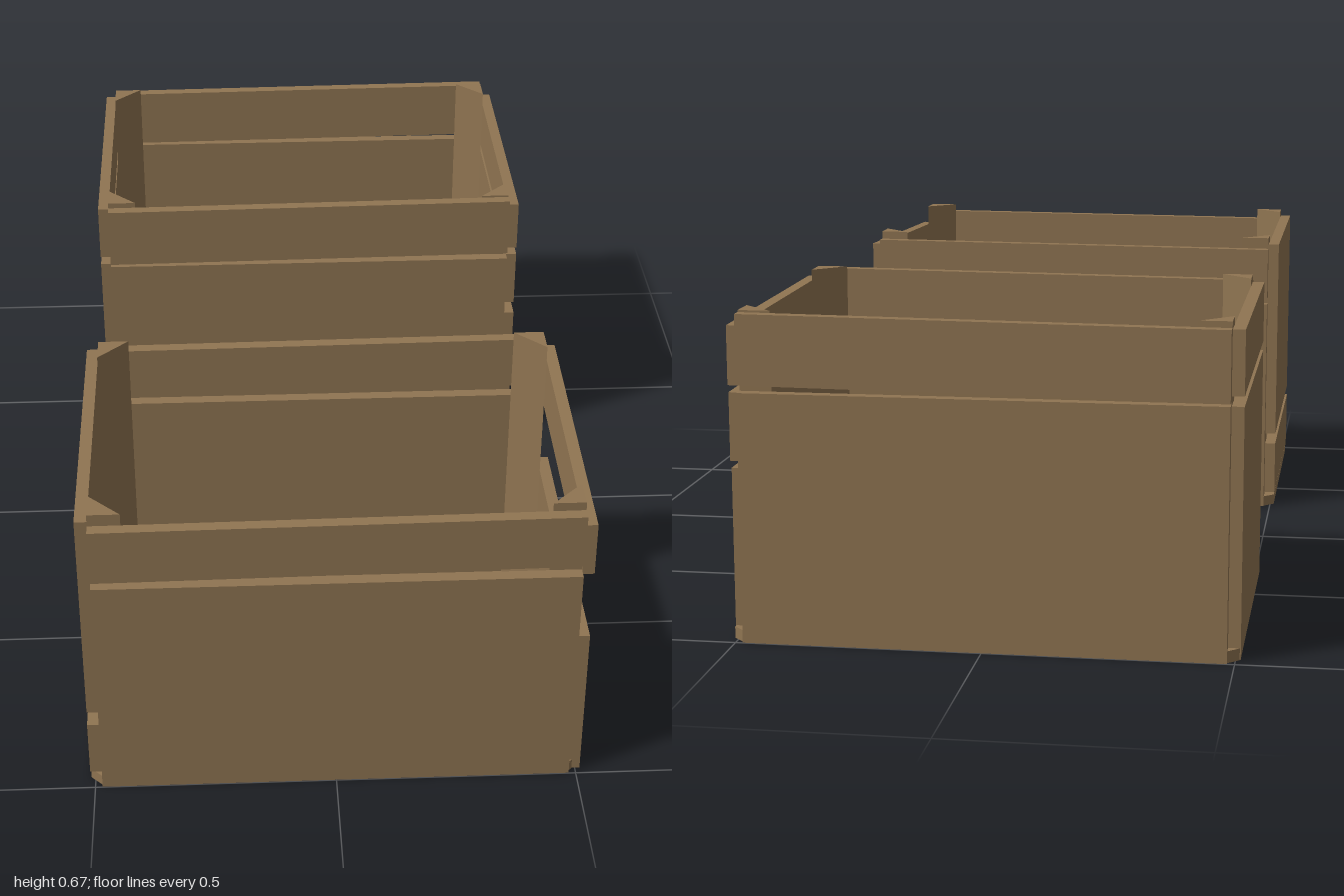
import * as THREE from 'three';

const wood = new THREE.MeshStandardMaterial({ color: 0x907552 });
wood.name = 'wood';

const HX = 0.485, OX = 0.51;   // inner and outer half width
const HZ = 0.325, OZ = 0.35;   // inner and outer half depth
const T = 0.025;               // plank thickness

// Prism from a 2D outline
function prism(points, depth) {
  const shape = new THREE.Shape(points.map(([x, y]) => new THREE.Vector2(x, y)));
  return new THREE.ExtrudeGeometry(shape, { depth, bevelEnabled: false });
}

function add(group, name, geometry) {
  const mesh = new THREE.Mesh(geometry, wood);
  mesh.name = name;
  group.add(mesh);
  return mesh;
}

// Plank outline: ends a and b, each with its own bottom and top height
function plank(a, b, [aLow, aHigh], [bLow, bHigh] = [aLow, aHigh]) {
  return prism([[a, aLow], [b, bLow], [b, bHigh], [a, aHigh]], T);
}

// Plank on a long wall, z is its inner or outer near face
function longPlank(group, name, z, left, right) {
  add(group, name, plank(-HX, HX, left, right)).position.z = z;
}

// Plank on a short wall; z0 > z1, heights given at each end
function endPlank(group, name, side, z0, z1, atZ0, atZ1) {
  const geometry = plank(-z0, -z1, atZ0, atZ1);
  geometry.rotateY(Math.PI / 2);       // outline x becomes -z, depth becomes +x
  add(group, name, geometry).position.x = side > 0 ? HX : -OX;
}

function crate(name, z, slatLeft, slatRight, endPlanks) {
  const group = new THREE.Group();
  group.name = name;
  group.position.z = z;

  // Floor with clipped corners
  const fx = OX - 0.001, fz = OZ - 0.001, c = 0.03;
  const floor = prism([
    [-fx + c, -fz], [fx - c, -fz], [fx, -fz + c], [fx, fz - c],
    [fx - c, fz], [-fx + c, fz], [-fx, fz - c], [-fx, -fz + c],
  ], T - 0.001);
  floor.rotateX(-Math.PI / 2);
  add(group, 'floor', floor);

  // Triangular corner posts
  for (const sx of [-1, 1]) for (const sz of [-1, 1]) {
    const points = [[sx * HX, sz * HZ], [sx * 0.42, sz * HZ], [sx * HX, sz * 0.26]];
    const post = prism(points, 0.65);
    post.rotateX(-Math.PI / 2);
    add(group, 'cornerPost', post).position.y = 0.021;
  }

  // Long walls: wide panel and slightly crooked top slat
  for (const [wall, wz] of [['front', HZ], ['back', -OZ]]) {
    longPlank(group, wall + 'Panel', wz, [0.001, 0.51]);
    longPlank(group, wall + 'TopSlat', wz, slatLeft, slatRight);
  }

  // Short walls
  for (const [label, side, z0, z1, atZ0, atZ1] of endPlanks) {
    endPlank(group, label, side, z0, z1, atZ0, atZ1);
  }
  return group;
}

export function createModel() {
  const model = new THREE.Group();
  model.name = 'crates';

  model.add(crate('frontCrate', 0.65, [0.525, 0.645], [0.535, 0.653], [
    ['leftPanel', 1, 0.335, -0.313, [0.001, 0.35]],
    ['leftTopSlat', 1, 0.33, -0.32, [0.502, 0.62], [0.522, 0.64]],
    ['rightBottomSlat', -1, 0.335, -0.32, [0.03, 0.155]],
    ['rightPanel', -1, 0.325, -0.32, [0.18, 0.655]],
  ]));

  model.add(crate('backCrate', -0.65, [0.516, 0.658], [0.525, 0.667], [
    ['leftPanel', 1, 0.338, -0.31, [0.001, 0.35]],
    ['leftMiddleSlat', 1, 0.33, -0.318, [0.375, 0.512], [0.366, 0.505]],
    ['leftTopSlat', 1, 0.33, -0.323, [0.53, 0.648], [0.52, 0.64]],
    ['rightPanel', -1, 0.325, -0.32, [0.001, 0.505]],
    ['rightTopSlat', -1, 0.325, -0.32, [0.525, 0.655]],
  ]));
  return model;
}
